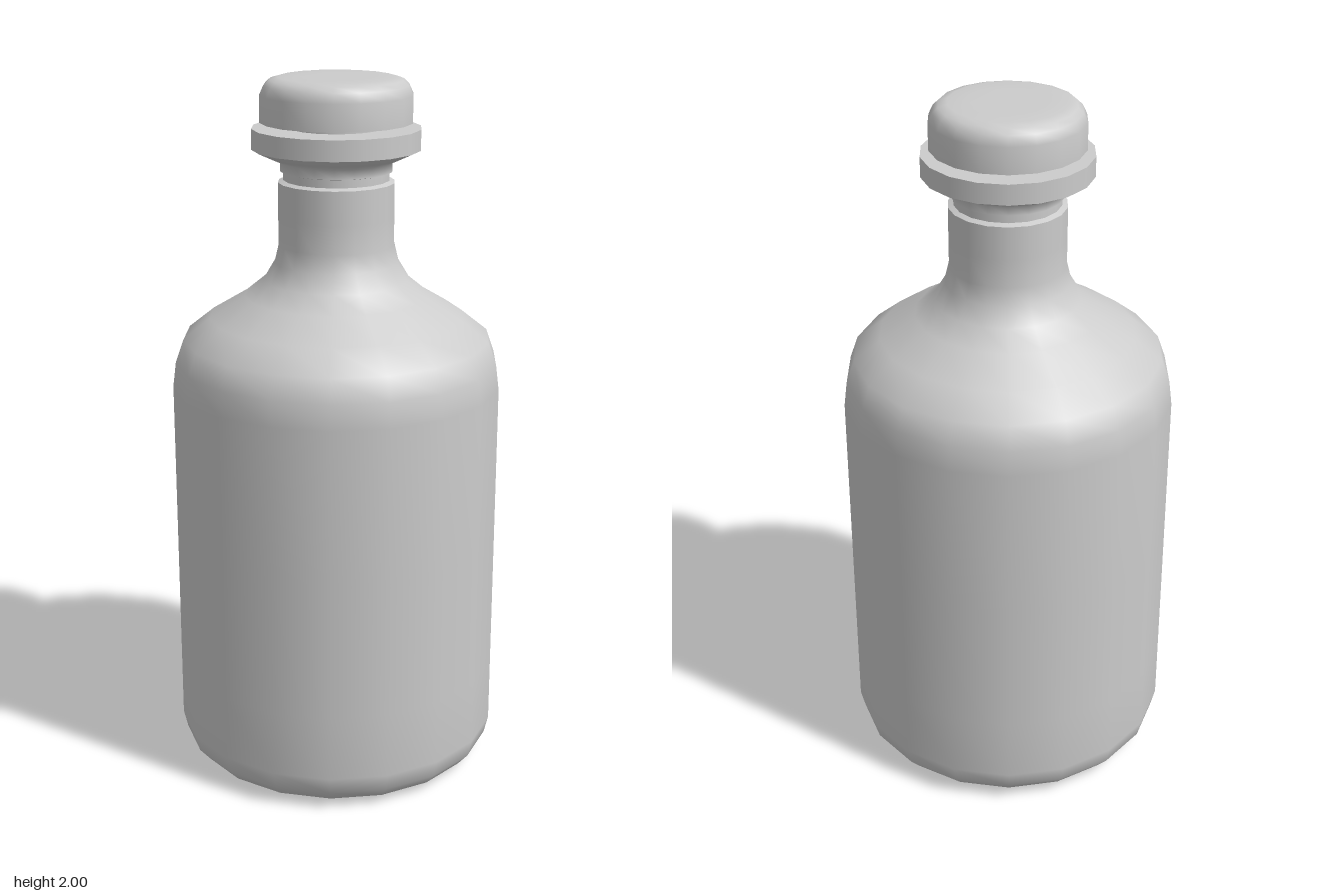
import * as THREE from 'three';
import { mergeGeometries } from 'three/addons/utils/BufferGeometryUtils.js';

const SIDES = 18;

// Lathes each run of [radius, y] points smoothly; edges between runs stay sharp.
function turned(name, runs, material) {
  const parts = runs.map(run => new THREE.LatheGeometry(
    run.map(([r, y]) => new THREE.Vector2(r, y)), SIDES, Math.PI / 2));
  const mesh = new THREE.Mesh(mergeGeometries(parts), material);
  mesh.name = name;
  return mesh;
}

export function createModel() {
  const group = new THREE.Group();
  group.name = 'bottle';
  const material = new THREE.MeshStandardMaterial({ color: 0xcccccc });

  // Body: hollowed base, rounded foot, straight wall, shoulder and neck
  group.add(turned('body', [
    [[0, 0.09], [0.12, 0.085], [0.21, 0.07], [0.27, 0.04], [0.31, 0.012], [0.34, 0.005],
      [0.38, 0.008], [0.425, 0.025], [0.455, 0.06], [0.467, 0.11],
      [0.467, 0.3], [0.467, 0.7], [0.467, 1.14], [0.458, 1.21], [0.435, 1.275],
      [0.36, 1.335], [0.26, 1.395], [0.205, 1.44], [0.175, 1.49], [0.163, 1.54],
      [0.163, 1.62], [0.163, 1.714]],
    [[0.163, 1.714], [0.148, 1.72]],
  ], material));

  // Lip: thin groove, flared underside, upright band, flat rim and bore
  group.add(turned('lip', [
    [[0.148, 1.715], [0.148, 1.742]],
    [[0.148, 1.742], [0.156, 1.744]],
    [[0.156, 1.744], [0.156, 1.77], [0.185, 1.782], [0.235, 1.805]],
    [[0.235, 1.805], [0.235, 1.862]],
    [[0.235, 1.862], [0.132, 1.862]],
    [[0.132, 1.862], [0.132, 1.72]],
  ], material));

  // Stopper: plug in the neck under a cap with a rounded top edge
  group.add(turned('stopperPlug', [
    [[0, 1.72], [0.131, 1.72]],
    [[0.131, 1.72], [0.131, 1.88]],
  ], material));
  group.add(turned('stopperCap', [
    [[0, 1.878], [0.212, 1.878]],
    [[0.212, 1.878], [0.212, 1.952], [0.2, 1.978], [0.185, 1.992], [0.16, 1.999],
      [0.1, 2], [0, 2]],
  ], material));

  return group;
}
